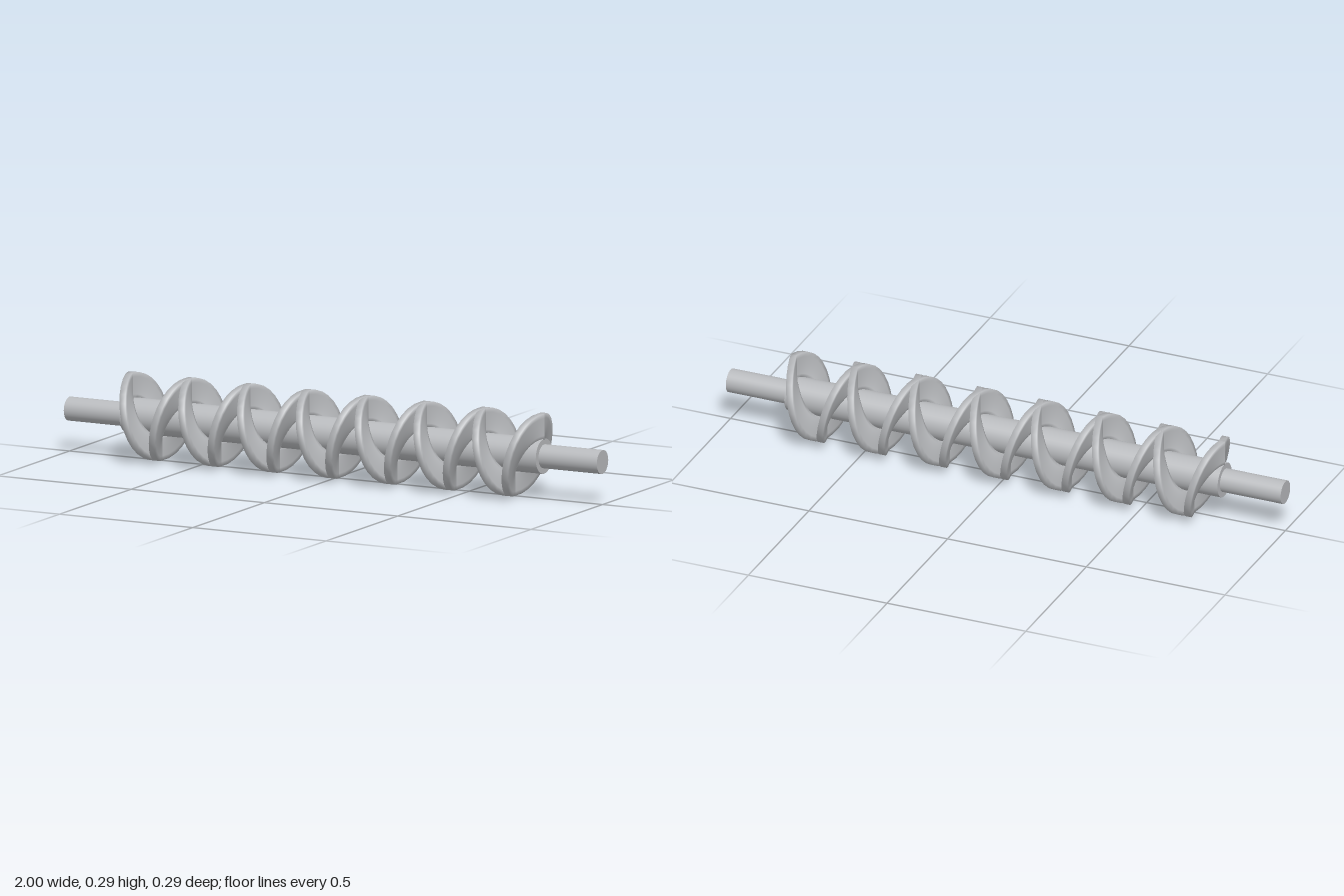
import * as THREE from 'three';

const AXIS_Y = 0.144;      // height of the shaft axis
const RIM = 0.143;         // blade outer radius
const CORE = 0.059;        // thick shaft radius
const JOURNAL = 0.04;      // thin shaft radius
const HALF_CORE = 0.781;   // half length of the thick shaft
const THICK = 0.022;       // blade thickness along the axis
const TURNS = 7;
const STEPS = 28 * TURNS;

// Helical blade swept from a closed cross-section; hand is +1 or -1
function bladeGeometry(hand) {
  const h = THICK / 2, rings = 6, profile = [];
  for (let k = 0; k <= rings; k++) profile.push([h, THREE.MathUtils.lerp(CORE - 0.004, RIM, k / rings)]);
  for (let k = rings; k >= 0; k--) profile.push([-h, profile[k][1]]);

  const n = profile.length, half = HALF_CORE - h + 0.002;
  const positions = [], indices = [];
  for (let i = 0; i <= STEPS; i++) {
    const u = i / STEPS, angle = u * TURNS * Math.PI * 2;
    for (const [dx, r] of profile) {
      positions.push((2 * u - 1) * half + dx, r * Math.cos(angle), hand * r * Math.sin(angle));
    }
  }
  for (let i = 0; i < STEPS; i++) {
    for (let j = 0; j < n; j++) {
      const a = i * n + j, b = i * n + (j + 1) % n, c = b + n, d = a + n;
      if (hand > 0) indices.push(a, b, c, a, c, d);
      else indices.push(a, c, b, a, d, c);
    }
  }
  const geometry = new THREE.BufferGeometry();
  geometry.setAttribute('position', new THREE.Float32BufferAttribute(positions, 3));
  geometry.setIndex(indices);
  geometry.computeVertexNormals();
  return geometry;
}

export function createModel() {
  const steel = new THREE.MeshStandardMaterial({ color: 0xb8babd });
  steel.name = 'steel grey';

  const group = new THREE.Group();
  group.name = 'crossedScrewRoller';
  const add = (name, geometry, x = 0) => {
    const mesh = new THREE.Mesh(geometry, steel);
    mesh.name = name;
    mesh.position.set(x, AXIS_Y, 0);
    group.add(mesh);
  };

  // Thick shaft
  add('coreShaft', new THREE.CylinderGeometry(CORE, CORE, HALF_CORE * 2, 32).rotateZ(Math.PI / 2));

  // Thin journals at both ends
  const length = 1 - HALF_CORE;
  for (const side of [1, -1]) {
    add(side > 0 ? 'leftJournal' : 'rightJournal',
      new THREE.CylinderGeometry(JOURNAL, JOURNAL, length, 32).rotateZ(Math.PI / 2),
      side * (HALF_CORE + length / 2));
  }

  // Two blades of opposite hand crossing at top and bottom
  add('rightHandBlade', bladeGeometry(1));
  add('leftHandBlade', bladeGeometry(-1));
  return group;
}
